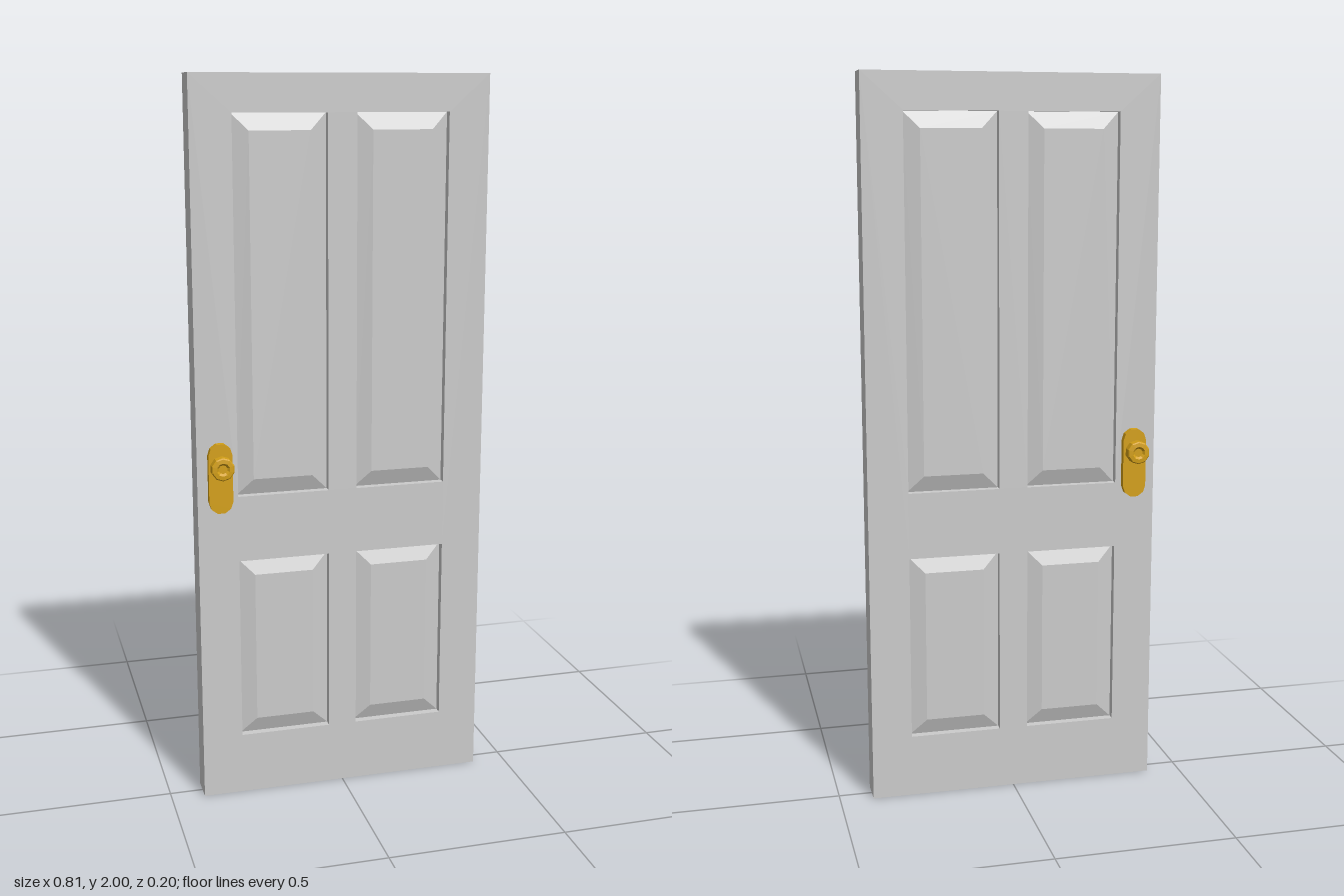
import * as THREE from 'three';
import { ConvexGeometry } from 'three/addons/geometries/ConvexGeometry.js';

const HALF_W = 0.407, HEIGHT = 2, HALF_T = 0.04;
const BEVEL = 0.045, EDGE_Z = 0.018, FIELD_Z = 0.035;

// Panel openings as [x0, x1, y0, y1]
const openings = [];
for (const [x0, x1] of [[-0.295, -0.04], [0.04, 0.295]])
  for (const [y0, y1] of [[0.175, 0.695], [0.88, 1.9]]) openings.push([x0, x1, y0, y1]);

function rectangle(path, [x0, x1, y0, y1]) {
  path.moveTo(x0, y0).lineTo(x1, y0).lineTo(x1, y1).lineTo(x0, y1).closePath();
  return path;
}

// Panel with sloped borders and a raised field on both faces
function raisedPanel([x0, x1, y0, y1]) {
  const points = [];
  for (const [inset, z] of [[0, EDGE_Z], [BEVEL, FIELD_Z]])
    for (const side of [-1, 1])
      for (const x of [x0 + inset, x1 - inset])
        for (const y of [y0 + inset, y1 - inset]) points.push(new THREE.Vector3(x, y, z * side));
  return new ConvexGeometry(points);
}

// Upright plate with faceted round ends
function plateGeometry(r, halfStraight, depth) {
  const shape = new THREE.Shape();
  const points = [];
  for (const end of [0, 1])
    for (let i = 0; i <= 5; i++) {
      const a = Math.PI * (end + i / 5);
      points.push(new THREE.Vector2(r * Math.cos(a), r * Math.sin(a) + (end ? -1 : 1) * halfStraight));
    }
  shape.setFromPoints(points);
  return new THREE.ExtrudeGeometry(shape, { depth, bevelEnabled: false });
}

export function createModel() {
  const grey = new THREE.MeshStandardMaterial({ color: 0xcccccc, flatShading: true });
  const brass = new THREE.MeshStandardMaterial({ color: 0xd4a017, flatShading: true });
  const door = new THREE.Group();
  door.name = 'door';

  const add = (parent, name, geometry, material) => {
    const mesh = new THREE.Mesh(geometry, material);
    mesh.name = name;
    parent.add(mesh);
    return mesh;
  };

  // Frame of stiles and rails
  const frame = rectangle(new THREE.Shape(), [-HALF_W, HALF_W, 0, HEIGHT]);
  frame.holes = openings.map((o) => rectangle(new THREE.Path(), o));
  const frameGeometry = new THREE.ExtrudeGeometry(frame, { depth: 2 * HALF_T, bevelEnabled: false });
  add(door, 'frame', frameGeometry.translate(0, 0, -HALF_T), grey);

  // Four raised panels
  openings.forEach((o, i) => add(door, `panel${i + 1}`, raisedPanel(o), grey));

  // Plate and knob on each face
  const plate = plateGeometry(0.033, 0.065, 0.018);
  const profile = [[0.011, 0.017], [0.011, 0.028], [0.029, 0.028], [0.032, 0.031], [0.032, 0.054],
    [0.029, 0.057], [0.018, 0.058], [0.012, 0.052], [0, 0.052]];
  const knob = new THREE.LatheGeometry(profile.map(([r, h]) => new THREE.Vector2(r, h)), 10);
  knob.rotateX(Math.PI / 2);
  for (const [name, side] of [['frontHandle', 1], ['backHandle', -1]]) {
    const handle = new THREE.Group();
    handle.name = name;
    add(handle, 'plate', plate, brass).position.y = 0.938;
    add(handle, 'knob', knob, brass).position.y = 0.974;
    handle.position.set(-0.345, 0, side * HALF_T);
    if (side < 0) handle.rotation.y = Math.PI;
    door.add(handle);
  }
  return door;
}
